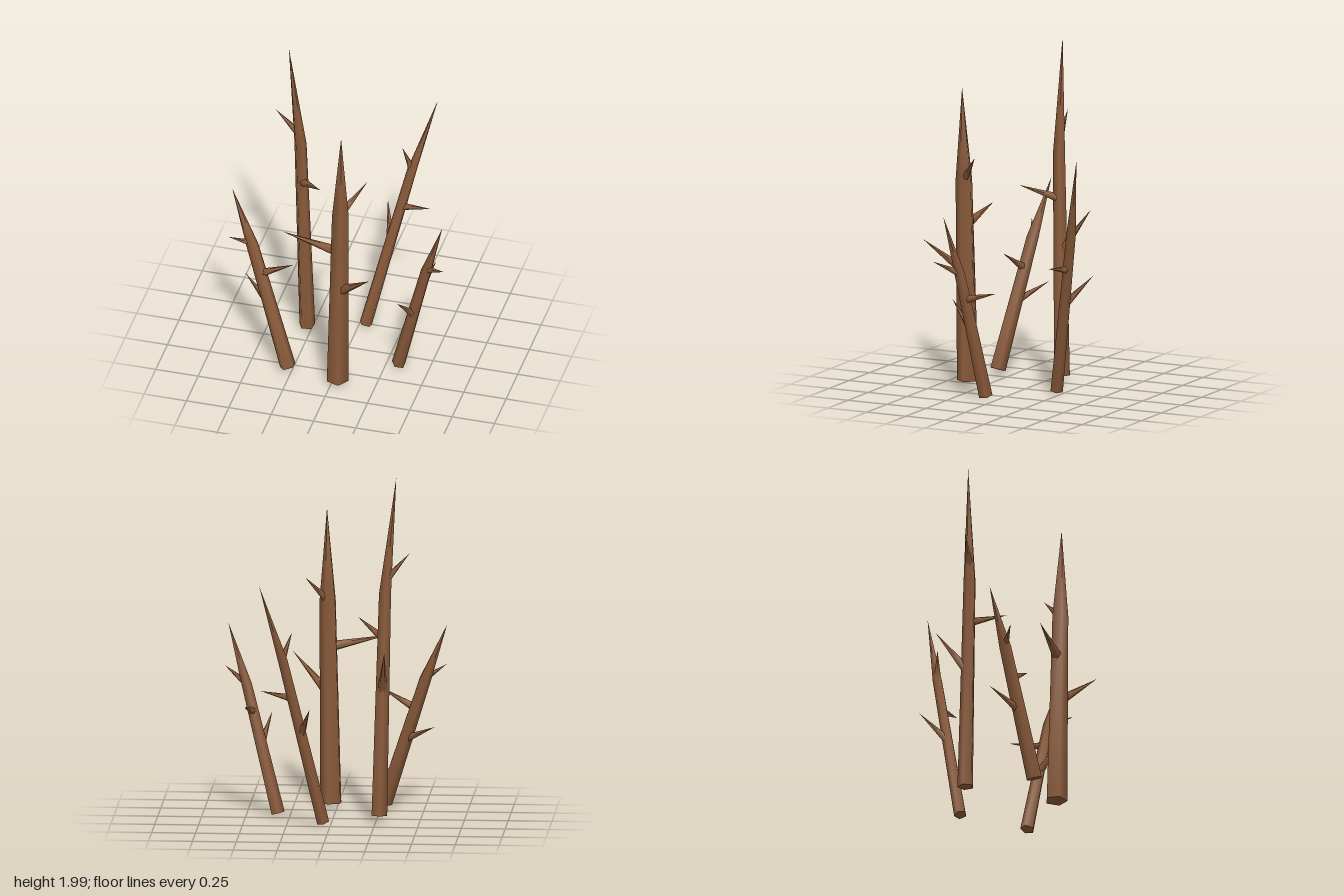
import * as THREE from 'three';
import { toCreasedNormals } from 'three/addons/utils/BufferGeometryUtils.js';

const SIDES = 5;
const UP = new THREE.Vector3(0, 1, 0);
const vec = p => new THREE.Vector3(...p);

// Tapered stem through a list of points with one radius each, closed at its base
function stemGeometry(pts, radii, twist) {
  const last = pts.length - 1;
  const turns = pts.map((p, i) => {
    const dir = pts[Math.min(i + 1, last)].clone().sub(pts[Math.max(i - 1, 0)]).normalize();
    return new THREE.Quaternion().setFromUnitVectors(UP, dir);
  });
  const geo = new THREE.CylinderGeometry(1, 1, last, SIDES, last);
  geo.rotateY(twist);
  const pos = geo.attributes.position;
  const v = new THREE.Vector3();
  for (let i = 0; i < pos.count; i++) {
    v.fromBufferAttribute(pos, i);
    const k = Math.round(v.y + last / 2);
    v.y = 0;
    v.multiplyScalar(radii[k]).applyQuaternion(turns[k]).add(pts[k]);
    pos.setXYZ(i, v.x, v.y, v.z);
  }
  return toCreasedNormals(geo, 1.4);
}

// Point on the stem's axis at a given height
function axisAt([base, shoulder, tip], y) {
  const [a, b] = y < shoulder.y ? [base, shoulder] : [shoulder, tip];
  return a.clone().lerp(b, (y - a.y) / (b.y - a.y));
}

// One sharpened stake; each twig is given by its root height and its tip
function makeStake(name, material, radius, twist, base, shoulder, tip, twigs) {
  const stake = new THREE.Group();
  stake.name = name;
  const add = (part, geo) => {
    const mesh = new THREE.Mesh(geo, material);
    mesh.name = part;
    stake.add(mesh);
  };
  const stem = [vec(base), vec(shoulder), vec(tip)];
  add('stem', stemGeometry(stem, [radius, radius * 0.77, 0], twist));

  // Longer twigs are thicker at the root
  twigs.forEach(([rootY, twigTip], i) => {
    const ends = [axisAt(stem, rootY), vec(twigTip)];
    const rootRadius = 0.012 + 0.06 * ends[0].distanceTo(ends[1]);
    add('twig' + (i + 1), stemGeometry(ends, [rootRadius, 0], 0));
  });
  return stake;
}

export function createModel() {
  const bark = new THREE.MeshStandardMaterial({ color: 0x8a5a3a });
  bark.name = 'barkBrown';
  const model = new THREE.Group();
  model.name = 'thornyStakes';

  model.add(makeStake('tallStake', bark, 0.047, 0.8,
    [-0.27, 0.05, -0.095], [-0.3, 1.33, -0.06], [-0.365, 2, -0.05], [
      [1.41, [-0.44, 1.56, -0.045]],
      [1.07, [-0.135, 1.16, 0.11]],
      [0.76, [-0.31, 1.02, -0.26]],
    ]));

  model.add(makeStake('thickStake', bark, 0.065, Math.PI / 2,
    [0.032, 0.035, 0.35], [0.052, 1.2, 0.365], [0.06, 1.74, 0.375], [
      [0.935, [-0.29, 1.01, 0.355]],
      [1.2, [0.175, 1.36, 0.235]],
      [0.66, [0.265, 0.88, 0.52]],
    ]));

  model.add(makeStake('backStake', bark, 0.037, 0.8,
    [0.042, 0.03, -0.222], [0.257, 1, -0.425], [0.385, 1.45, -0.525], [
      [0.775, [0.39, 0.81, -0.35]],
      [1.01, [0.205, 1.165, -0.41]],
      [0.56, [0.1, 0.73, -0.485]],
    ]));

  model.add(makeStake('leftStake', bark, 0.041, -Math.PI / 2,
    [0.322, 0.02, 0.09], [0.505, 0.75, 0.16], [0.612, 1.1, 0.21], [
      [0.76, [0.635, 0.84, 0.265]],
      [0.6, [0.5, 0.66, -0.07]],
      [0.41, [0.365, 0.575, 0.28]],
    ]));

  model.add(makeStake('rightStake', bark, 0.047, -Math.PI / 2,
    [-0.27, 0.045, 0.318], [-0.508, 0.78, 0.218], [-0.64, 1.11, 0.163], [
      [0.79, [-0.63, 0.86, 0.285]],
      [0.61, [-0.25, 0.725, 0.27]],
      [0.425, [-0.57, 0.52, 0.14]],
    ]));

  return model;
}
